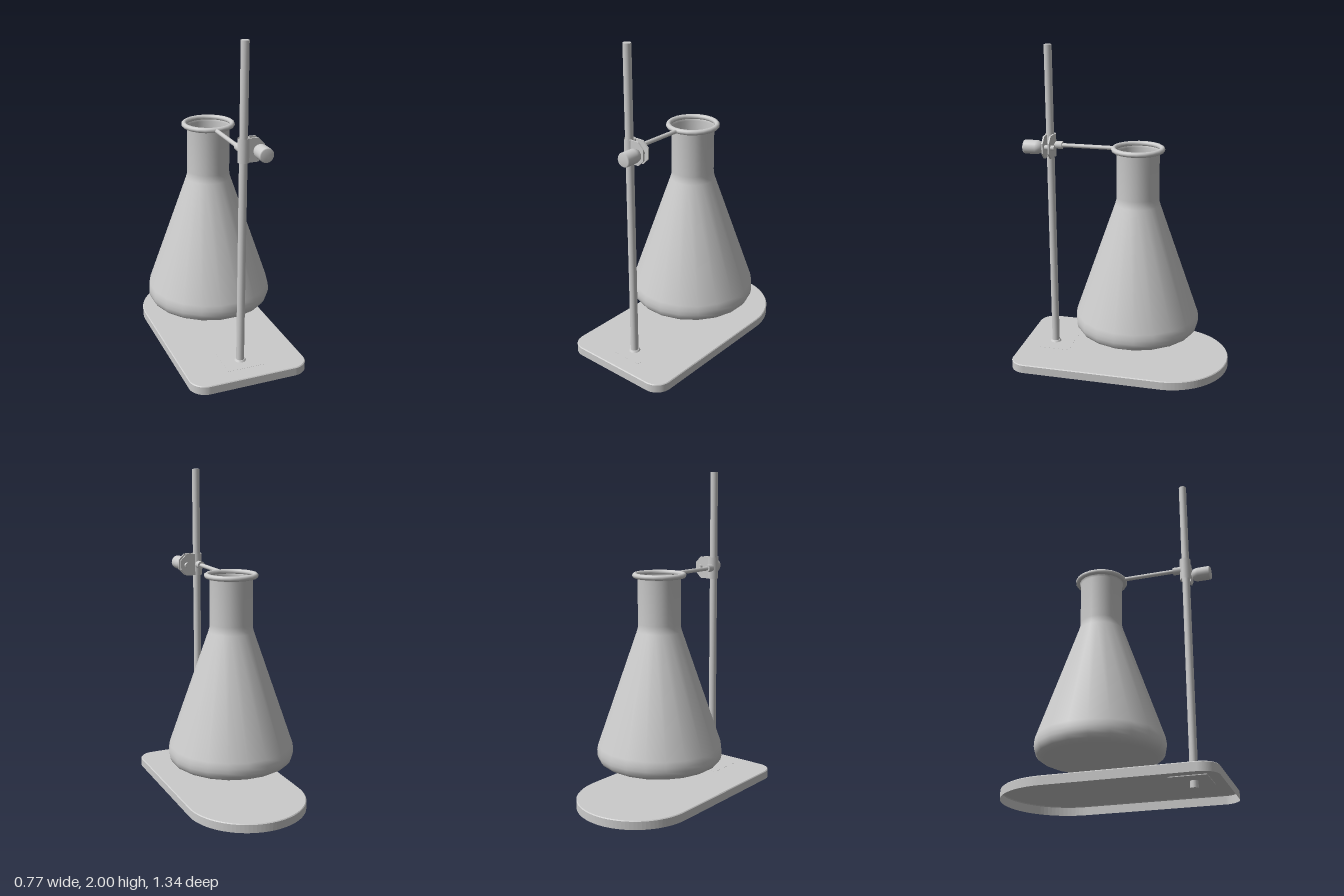
import * as THREE from 'three';

const grey = new THREE.MeshStandardMaterial({ color: 0xcccccc });
const greyThin = new THREE.MeshStandardMaterial({ color: 0xcccccc, side: THREE.DoubleSide });

function add(parent, name, geometry, x = 0, y = 0, z = 0, material = grey) {
  const mesh = new THREE.Mesh(geometry, material);
  mesh.name = name;
  mesh.position.set(x, y, z);
  parent.add(mesh);
  return mesh;
}

// Cylinder lying along z between z0 and z1
function barZ(parent, name, r, x, y, z0, z1, sides = 16) {
  const geo = new THREE.CylinderGeometry(r, r, z1 - z0, sides).rotateX(Math.PI / 2);
  return add(parent, name, geo, x, y, (z0 + z1) / 2);
}

// Foot outline in (x, -z): rounded front corners, half-round back
function footShape(inset) {
  const w = 0.371 - inset, front = -0.667 + inset, r = 0.1 - inset, s = new THREE.Shape();
  s.moveTo(-w + r, front);
  s.lineTo(w - r, front);
  s.absarc(w - r, front + r, r, -Math.PI / 2, 0);
  s.lineTo(w, 0.3);
  s.absarc(0, 0.3, w, 0, Math.PI);
  s.lineTo(-w, front + r);
  s.absarc(-w + r, front + r, r, Math.PI, Math.PI * 1.5);
  return s;
}

// Wall strip joining two outlines of equal point count
function wall(lower, y0, upper, y1) {
  const pos = [];
  lower.forEach((a, i) => {
    const j = (i + 1) % lower.length, b = lower[j], c = upper[j], d = upper[i];
    const A = [a.x, y0, -a.y], B = [b.x, y0, -b.y], C = [c.x, y1, -c.y], D = [d.x, y1, -d.y];
    pos.push(...A, ...B, ...C, ...A, ...C, ...D);
  });
  const geo = new THREE.BufferGeometry();
  geo.setAttribute('position', new THREE.Float32BufferAttribute(pos, 3));
  geo.computeVertexNormals();
  return geo;
}

export function createModel() {
  const model = new THREE.Group();
  model.name = 'flaskOnStand';
  const rodZ = 0.468, clampY = 1.39;

  // Foot: a shallow tray, open underneath
  const foot = new THREE.Group();
  foot.name = 'foot';
  model.add(foot);
  const outer = footShape(0).getPoints(24), inner = footShape(0.005).getPoints(24);
  add(foot, 'footWall', wall(outer, 0, outer, 0.05), 0, 0, 0, greyThin);
  add(foot, 'footEdge', wall(outer, 0.05, inner, 0.055), 0, 0, 0, greyThin);
  const top = new THREE.ShapeGeometry(footShape(0.005), 24).rotateX(-Math.PI / 2);
  add(foot, 'footTop', top, 0, 0.055, 0, greyThin);
  add(foot, 'footPad', new THREE.BoxGeometry(0.23, 0.005, 0.22), -0.005, 0.0532, 0.455);

  // Rod with a small collar, leaning very slightly
  add(model, 'rodCollar', new THREE.CylinderGeometry(0.028, 0.036, 0.012, 16), -0.005, 0.06, rodZ);
  const rod = add(model, 'rod', new THREE.CylinderGeometry(0.024, 0.024, 1.99, 16), -0.003, 1.005, rodZ);
  rod.rotation.z = -0.003;

  // Flask: one turned wall, twenty sides
  const flask = new THREE.Group();
  flask.name = 'flask';
  flask.position.z = -0.084;
  flask.rotation.y = Math.PI / 20;
  model.add(flask);
  const profile = [
    [0, 0.225], [0.32, 0.225], [0.347, 0.229], [0.37, 0.242], [0.384, 0.262], [0.389, 0.285],
    [0.389, 0.31], [0.383, 0.345], [0.139, 1.05], [0.132, 1.075], [0.131, 1.1], [0.131, 1.37], [0.145, 1.39],
  ].map(([r, y]) => new THREE.Vector2(r, y));
  add(flask, 'flaskBody', new THREE.LatheGeometry(profile, 20), 0, 0, 0, greyThin);
  const rim = new THREE.TorusGeometry(0.148, 0.016, 10, 20).rotateX(Math.PI / 2);
  add(flask, 'flaskRim', rim, 0, 1.393, 0);

  // Clamp: sleeve around the rod and two cheek plates
  const clamp = new THREE.Group();
  clamp.name = 'clamp';
  model.add(clamp);
  add(clamp, 'clampSleeve', new THREE.CylinderGeometry(0.034, 0.034, 0.14, 20, 1, true), 0, clampY, rodZ - 0.003, greyThin);
  const cheek = new THREE.Shape([
    [0.015, -0.07], [0.08, -0.07], [0.118, -0.032], [0.118, 0.032], [0.08, 0.07], [0.015, 0.07],
  ].map(([x, y]) => new THREE.Vector2(x, y)));
  for (const z of [0.438, 0.477]) {
    const plate = new THREE.ExtrudeGeometry(cheek, { depth: 0.01, bevelEnabled: false });
    add(clamp, 'clampPlate', plate, 0, clampY, z);
  }

  // Tightening screw with a rounded knob
  barZ(clamp, 'screw', 0.016, 0.08, clampY, 0.416, 0.51);
  const knobProfile = [
    [0, 0.49], [0.022, 0.49], [0.035, 0.499], [0.042, 0.517], [0.043, 0.53],
    [0.043, 0.6], [0.038, 0.608], [0, 0.608],
  ].map(([r, z]) => new THREE.Vector2(r, z));
  add(clamp, 'knob', new THREE.LatheGeometry(knobProfile, 20).rotateX(Math.PI / 2), 0.08, clampY, 0);

  // Arm reaching to the flask rim
  barZ(clamp, 'armBoss', 0.024, -0.003, clampY, 0.39, 0.44);
  barZ(clamp, 'arm', 0.013, -0.004, clampY, 0.06, 0.4, 12);

  return model;
}
